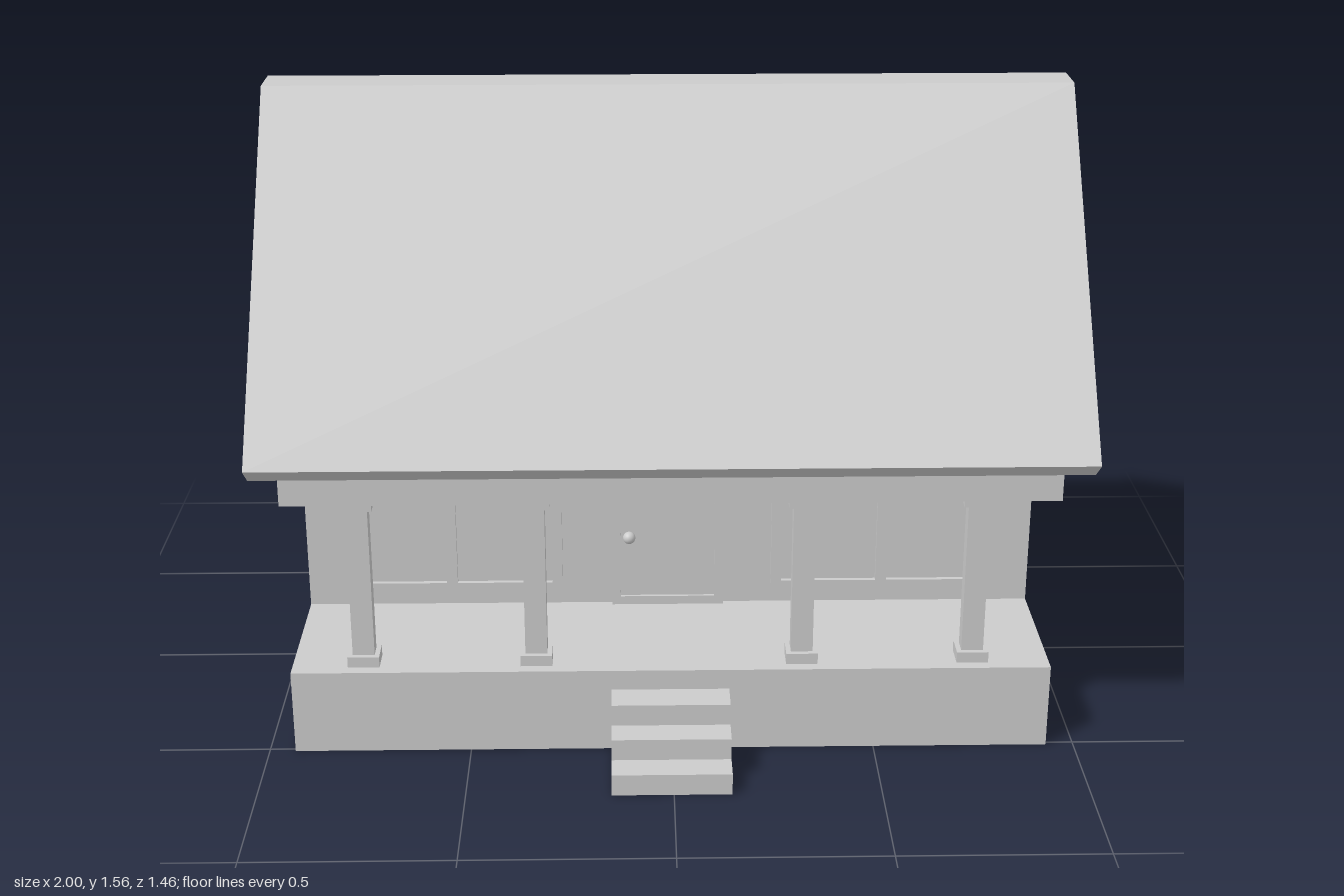
import * as THREE from 'three';

const material = new THREE.MeshStandardMaterial({ color: 0xcccccc, flatShading: true });
const smooth = new THREE.MeshStandardMaterial({ color: 0xcccccc });

function addMesh(parent, name, geometry, mat = material) {
  const mesh = new THREE.Mesh(geometry, mat);
  mesh.name = name;
  parent.add(mesh);
  return mesh;
}

// Box given by its min and max corners
function box(parent, name, [x0, y0, z0], [x1, y1, z1]) {
  const mesh = addMesh(parent, name, new THREE.BoxGeometry(x1 - x0, y1 - y0, z1 - z0));
  mesh.position.set((x0 + x1) / 2, (y0 + y1) / 2, (z0 + z1) / 2);
  return mesh;
}

// Side profile of [z, y] points, extruded along x
function extrudeAcross(points, x0, x1) {
  const shape = new THREE.Shape(points.map(([z, y]) => new THREE.Vector2(-z, y)));
  const geometry = new THREE.ExtrudeGeometry(shape, { depth: x1 - x0, bevelEnabled: false });
  return geometry.rotateY(Math.PI / 2).translate(x0, 0, 0);
}

function rectangle(Type, x0, y0, x1, y1) {
  return new Type([[x0, y0], [x1, y0], [x1, y1], [x0, y1]].map(([x, y]) => new THREE.Vector2(x, y)));
}

// Raised frame around recessed panels, facing +z; each rectangle is [x0, y0, x1, y1]
function framedOpening(name, outer, panes, depth, paneDepth) {
  const group = new THREE.Group();
  group.name = name;
  const shape = rectangle(THREE.Shape, ...outer);
  shape.holes = panes.map((p) => rectangle(THREE.Path, ...p));
  addMesh(group, name + 'Frame', new THREE.ExtrudeGeometry(shape, { depth, bevelEnabled: false }));
  for (const [x0, y0, x1, y1] of panes) box(group, name + 'Panel', [x0, y0, 0], [x1, y1, paneDepth]);
  return group;
}

export function createModel() {
  const house = new THREE.Group();
  house.name = 'house';
  const left = 0.932, right = -0.936, wallZ = 0.135, floorY = 0.217, beamY = 0.665;

  // Walls, gables and porch recess in one side profile
  addMesh(house, 'walls', extrudeAcross([
    [-0.64, 0], [0.51, 0], [0.51, floorY], [wallZ, floorY], [wallZ, beamY], [0.51, beamY],
    [0.51, 0.783], [-0.04, 1.49], [-0.09, 1.49], [-0.64, 0.777],
  ], right, left));

  // Roof with a flat ridge and overhanging eaves
  addMesh(house, 'roof', extrudeAcross([
    [0.595, 0.79], [0.54, 0.745], [-0.04, 1.49], [-0.09, 1.49],
    [-0.668, 0.745], [-0.725, 0.79], [-0.12, 1.56], [-0.01, 1.56],
  ], -1, 1));

  // Front steps
  addMesh(house, 'steps', extrudeAcross([
    [0.51, 0], [0.73, 0], [0.73, 0.055], [0.66, 0.055], [0.66, 0.11],
    [0.59, 0.11], [0.59, 0.165], [0.51, 0.165],
  ], -0.15, 0.14));

  // Porch posts with square bases and capitals
  for (const x of [-0.76, -0.335, 0.32, 0.742]) {
    const post = new THREE.Group();
    post.name = 'porchPost';
    box(post, 'shaft', [-0.027, floorY, -0.02], [0.027, beamY, 0.02]);
    box(post, 'base', [-0.039, floorY, -0.033], [0.039, floorY + 0.028, 0.033]);
    box(post, 'capital', [-0.039, beamY - 0.028, -0.033], [0.039, beamY, 0.033]);
    post.position.set(x, 0, 0.449);
    house.add(post);
  }

  // Front windows, two panes side by side
  for (const x of [-0.564, 0.548]) {
    const front = framedOpening('frontWindow', [-0.286, 0.27, 0.286, 0.628],
      [[-0.259, 0.283, -0.014, 0.615], [0.014, 0.283, 0.259, 0.615]], 0.016, 0.004);
    front.position.set(x, 0, wallZ);
    house.add(front);
  }

  // Side windows, two panes stacked
  for (const side of [-1, 1]) {
    const window = framedOpening('sideWindow', [-0.118, 0.285, 0.118, 0.662],
      [[-0.108, 0.301, 0.108, 0.464], [-0.108, 0.482, 0.108, 0.645]], 0.016, 0.004);
    window.rotation.y = side * Math.PI / 2;
    window.position.set(side > 0 ? left : right, 0, -0.246);
    house.add(window);
  }

  // Front door and knob
  const door = framedOpening('door', [-0.15, floorY, 0.139, 0.62],
    [[-0.128, 0.24, 0.115, 0.593]], 0.014, 0.006);
  door.position.z = wallZ;
  const knob = addMesh(door, 'doorKnob', new THREE.SphereGeometry(0.016, 20, 14), smooth);
  knob.position.set(-0.105, 0.41, 0.019);
  house.add(door);

  return house;
}
